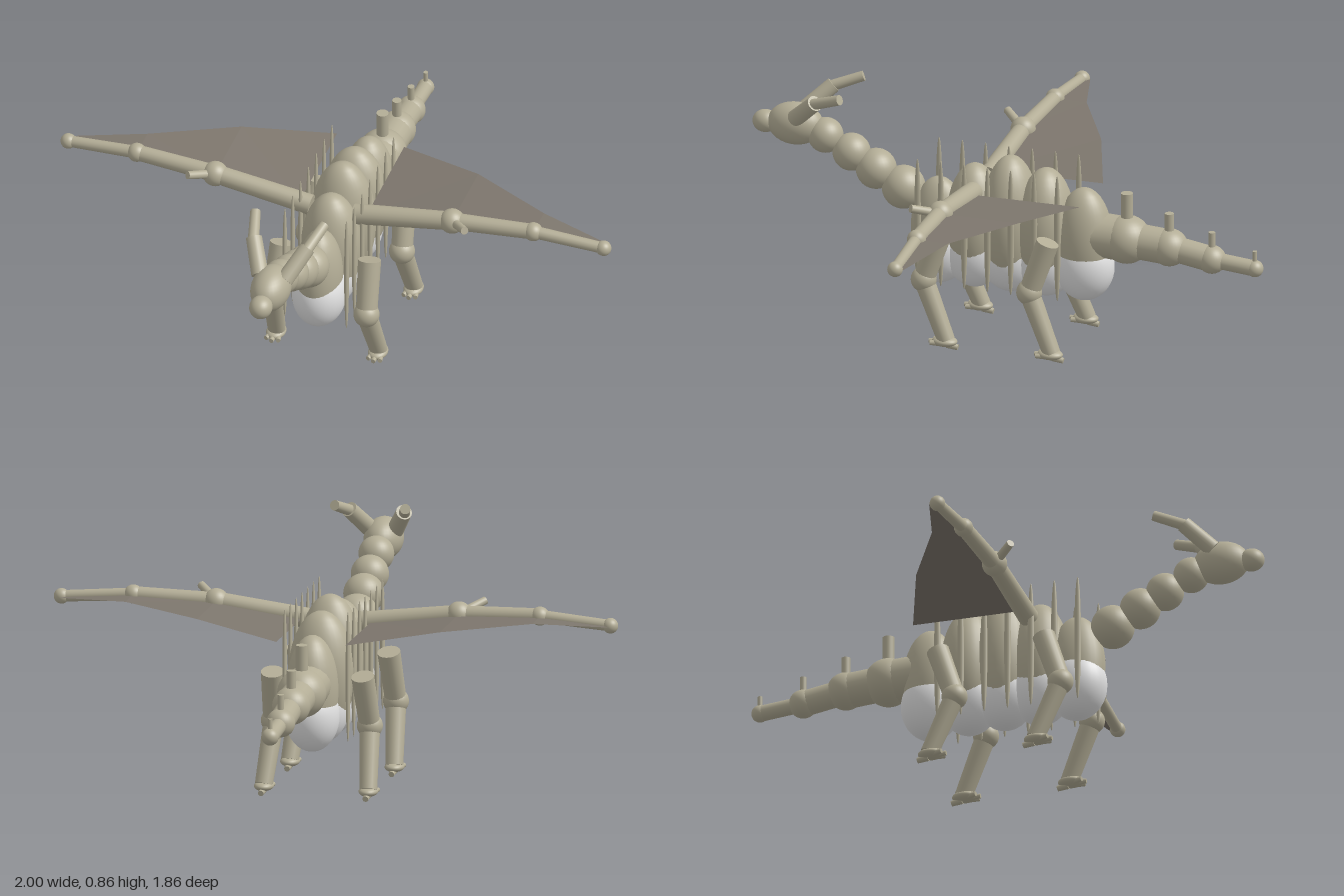
import * as THREE from 'three';

const V = (x, y, z) => new THREE.Vector3(x, y, z);

export function createModel() {
  const model = new THREE.Group();
  model.name = 'wingedBeast';
  const hide = new THREE.MeshStandardMaterial({ name: 'hide', color: 0xb3ad96 });
  const belly = new THREE.MeshStandardMaterial({ name: 'belly', color: 0xe2e2e2 });
  const skin = new THREE.MeshStandardMaterial({ name: 'wingSkin', color: 0x7d766d, side: THREE.DoubleSide });

  const add = (name, geo, mat = hide, parent = model) => {
    const m = new THREE.Mesh(geo, mat);
    m.name = name;
    parent.add(m);
    return m;
  };
  const group = (name) => {
    const g = new THREE.Group();
    g.name = name;
    model.add(g);
    return g;
  };
  // Ellipsoid at p with radii rx, ry, rz
  const ball = (name, p, rx, ry = rx, rz = rx, parent = model, mat = hide) => {
    const m = add(name, new THREE.SphereGeometry(1, 32, 20), mat, parent);
    m.position.copy(p);
    m.scale.set(rx, ry, rz);
    return m;
  };
  // Capped rod from a (radius ra) to b (radius rb)
  const rod = (name, a, b, ra, rb = ra, parent = model) => {
    const d = b.clone().sub(a);
    const m = add(name, new THREE.CylinderGeometry(rb, ra, d.length(), 20), hide, parent);
    m.position.copy(a).addScaledVector(d, 0.5);
    m.quaternion.setFromUnitVectors(V(0, 1, 0), d.normalize());
    return m;
  };

  // Torso segments [z, y, rx, ry, rz], each with a pale belly
  const torso = group('torso');
  [
    [0.25, 0.37, 0.08, 0.19, 0.1],
    [0.12, 0.41, 0.105, 0.215, 0.1],
    [-0.01, 0.43, 0.115, 0.24, 0.1],
    [-0.14, 0.42, 0.115, 0.22, 0.1],
    [-0.28, 0.39, 0.09, 0.195, 0.1],
  ].forEach(([z, y, rx, ry, rz]) => {
    ball('torsoSegment', V(0, y, z), rx, ry, rz, torso);
    ball('bellySegment', V(0, 0.3, z), 0.094, 0.125, 0.106, torso, belly);
  });

  // Neck beads, head and snout
  const neck = group('neck');
  [[0.38, 0.505, 0.076], [0.48, 0.56, 0.071], [0.57, 0.61, 0.066], [0.665, 0.66, 0.062]]
    .forEach(([z, y, r]) => ball('neckSegment', V(0, y, z), r, r, r, neck));
  ball('head', V(0, 0.69, 0.775), 0.068, 0.075, 0.1);
  ball('snout', V(0, 0.685, 0.885), 0.04, 0.04, 0.045);

  // Tail beads joined by rods, each bead with an upright spike [z, y, r, spikeTop, spikeR, rodR]
  const tail = group('tail');
  let last = V(0, 0.42, -0.3);
  [
    [-0.435, 0.415, 0.085, 0.585, 0.021, 0.078],
    [-0.59, 0.405, 0.066, 0.53, 0.016, 0.062],
    [-0.745, 0.38, 0.05, 0.48, 0.012, 0.045],
    [-0.902, 0.366, 0.03, 0.43, 0.008, 0.028],
  ].forEach(([z, y, r, top, spikeR, rodR]) => {
    const p = V(0, y, z);
    rod('tailLink', last, p, rodR, rodR, tail);
    ball('tailJoint', p, r, r, r, tail);
    rod('tailSpike', p, V(0, top, z), spikeR, spikeR, tail);
    last = p;
  });

  for (const s of [1, -1]) {
    const side = s > 0 ? 'left' : 'right';

    // Slender upright quills along the flank
    const quills = group(side + 'Quills');
    for (let i = 0; i < 7; i++)
      ball('quill', V(s * 0.112, 0.43, 0.29 - i * 0.085), 0.008, 0.23, 0.012, quills);

    // Two-part horn
    const horn = group(side + 'Horn');
    const bend = V(s * 0.097, 0.81, 0.67);
    rod('hornBase', V(s * 0.045, 0.725, 0.76), bend, 0.03, 0.028, horn);
    rod('hornTip', V(s * 0.093, 0.8, 0.69), V(s * 0.125, 0.845, 0.57), 0.02, 0.018, horn);

    // Wing arm with joints and thumb claw
    const wing = group(side + 'Wing');
    const arm = [V(s * 0.08, 0.55, 0.1), V(s * 0.43, 0.598, 0.095), V(s * 0.72, 0.61, 0.08), V(s * 0.972, 0.592, 0.07)];
    const armR = [0.036, 0.03, 0.022];
    const jointR = [0.044, 0.033, 0.027];
    for (let i = 0; i < 3; i++) {
      rod('wingBone', arm[i], arm[i + 1], armR[i], armR[i] * 0.9, wing);
      ball('wingJoint', arm[i + 1], jointR[i], jointR[i], jointR[i], wing);
    }
    rod('wingClaw', arm[1], V(s * 0.503, 0.632, 0.178), 0.016, 0.014, wing);

    // Membrane panels between the arm and the trailing edge
    const trail = [V(s * 0.122, 0.56, -0.305), V(s * 0.43, 0.598, -0.19), V(s * 0.72, 0.608, -0.035), V(s * 0.972, 0.592, 0.04)];
    const lead = [V(s * 0.122, 0.556, 0.1), ...arm.slice(1)];
    const pts = [];
    for (let i = 0; i < 3; i++) {
      const quad = [lead[i], lead[i + 1], trail[i + 1], trail[i]];
      const order = s > 0 ? [0, 1, 2, 0, 2, 3] : [0, 2, 1, 0, 3, 2];
      // Reversed so each panel's front side faces up
      order.reverse().forEach((k) => pts.push(quad[k]));
    }
    const web = new THREE.BufferGeometry().setFromPoints(pts);
    // Keep the winding facing upward on both wings
    web.computeVertexNormals();
    if (web.attributes.normal.getY(0) < 0) {
      for (let i = 0; i < pts.length; i += 3) [pts[i], pts[i + 1]] = [pts[i + 1], pts[i]];
      web.setFromPoints(pts);
      web.computeVertexNormals();
    }
    add('wingMembrane', web, skin, wing);

    // Fore and hind legs share one shape
    for (const [name, z] of [['FrontLeg', 0], ['HindLeg', -0.385]]) {
      const leg = group(side + name);
      leg.position.z = z;
      const knee = V(s * 0.17, 0.243, 0.247);
      const ankle = V(s * 0.185, 0.035, 0.16);
      rod('upperLeg', V(s * 0.16, 0.43, 0.183), knee, 0.04, 0.037, leg);
      ball('knee', knee, 0.045, 0.045, 0.045, leg);
      rod('lowerLeg', knee, ankle, 0.036, 0.031, leg);
      ball('foot', V(s * 0.185, 0.03, 0.165), 0.034, 0.018, 0.045, leg);
      for (const t of [-1, 0, 1])
        rod('toe', V(s * 0.185 + t * 0.012, 0.026, 0.175), V(s * 0.185 + t * 0.022, 0.026, 0.222 - Math.abs(t) * 0.01), 0.012, 0.008, leg);
      rod('heel', V(s * 0.185, 0.02, 0.155), V(s * 0.185, 0.012, 0.117), 0.014, 0.01, leg);
    }
  }
  return model;
}
